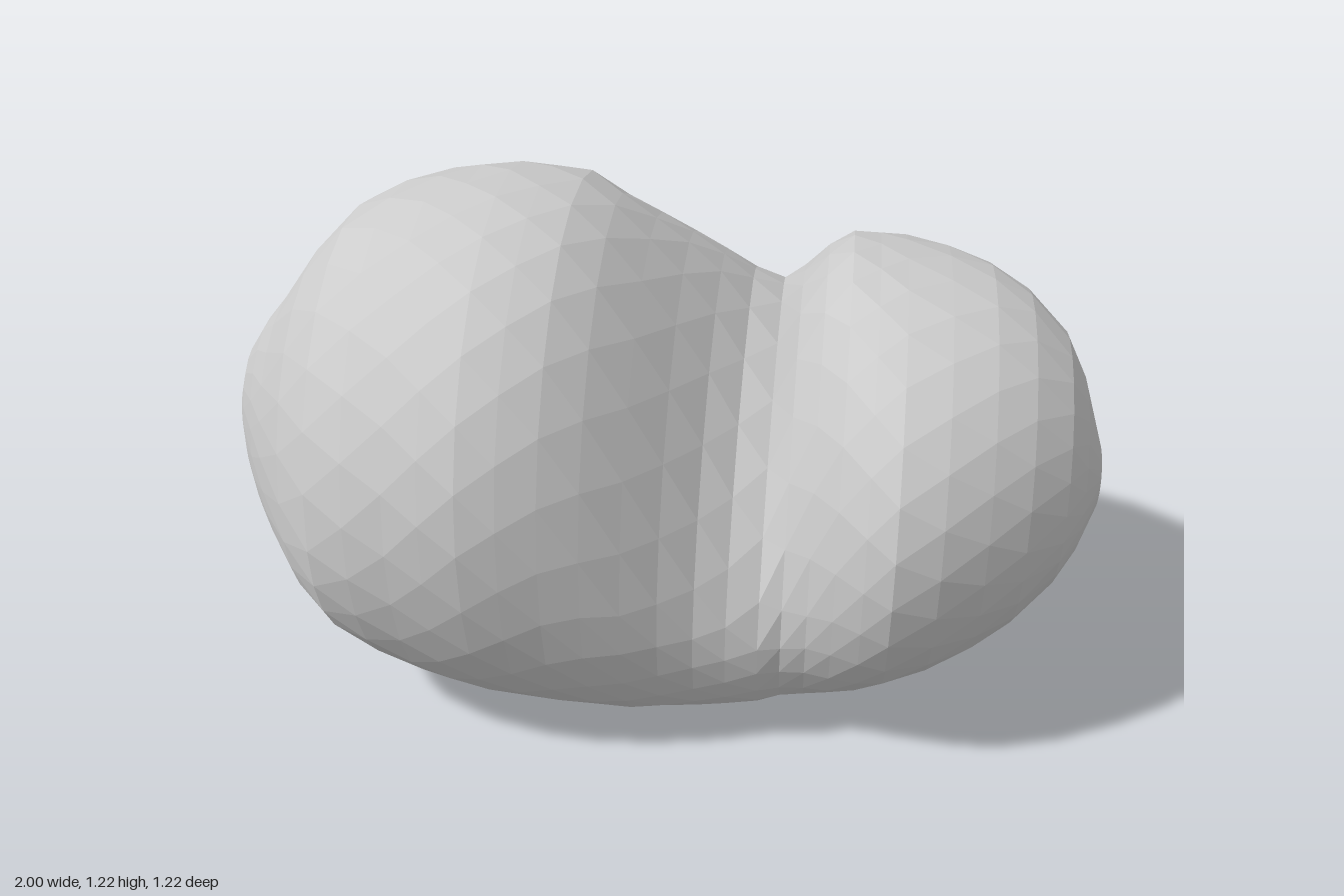
import * as THREE from 'three';

// Cross-sections along x:
// x, top y, top z, bottom y, bottom z, front z, front y, back z, back y
const SECTIONS = [
  [-1, 0.68, -0.04, 0.52, -0.03, 0.02, 0.58, -0.1, 0.6],
  [-0.97, 0.77, -0.04, 0.43, 0.02, 0.09, 0.57, -0.25, 0.6],
  [-0.87, 0.91, -0.03, 0.3, 0.05, 0.27, 0.56, -0.4, 0.6],
  [-0.69, 1.13, 0, 0.16, 0.07, 0.51, 0.57, -0.54, 0.6],
  [-0.5, 1.205, 0, 0.07, 0.1, 0.58, 0.62, -0.56, 0.6],
  [-0.34, 1.225, 0, 0.035, 0.12, 0.61, 0.65, -0.57, 0.6],
  [-0.18, 1.205, -0.02, 0.012, 0.13, 0.575, 0.6, -0.59, 0.6],
  [-0.02, 1.1, -0.1, 0, 0.13, 0.51, 0.46, -0.61, 0.6],
  [0.13, 0.98, -0.2, 0.005, 0.12, 0.44, 0.36, -0.59, 0.61],
  [0.27, 0.89, -0.25, 0.02, 0.1, 0.41, 0.32, -0.565, 0.63],
  [0.32, 0.97, -0.1, 0.03, 0.1, 0.4, 0.36, -0.56, 0.64],
  [0.43, 1.075, -0.06, 0.055, 0.1, 0.46, 0.5, -0.545, 0.65],
  [0.55, 1.07, -0.05, 0.11, 0.1, 0.515, 0.58, -0.5, 0.67],
  [0.74, 1.04, -0.03, 0.21, 0.1, 0.44, 0.6, -0.42, 0.67],
  [0.91, 0.92, 0, 0.37, 0.09, 0.3, 0.61, -0.24, 0.66],
  [1, 0.69, 0.06, 0.54, 0.07, 0.13, 0.62, 0, 0.63],
];
const SIDES = 26;

// Slope that never overshoots, so the crease stays crisp
function slope(i, c) {
  const s = SECTIONS;
  if (i === 0 || i === s.length - 1) {
    const k = i === 0 ? 0 : i - 1;
    return 1.4 * (s[k + 1][c] - s[k][c]) / (s[k + 1][0] - s[k][0]);
  }
  const a = (s[i][c] - s[i - 1][c]) / (s[i][0] - s[i - 1][0]);
  const b = (s[i + 1][c] - s[i][c]) / (s[i + 1][0] - s[i][0]);
  return a * b <= 0 ? 0 : (2 * a * b) / (a + b);
}

// Section halfway between two given ones
function midSection(i) {
  const p = SECTIONS[i], q = SECTIONS[i + 1], h = q[0] - p[0];
  return p.map((v, c) => c === 0 ? (v + q[0]) / 2
    : (v + q[c]) / 2 + (h / 8) * (slope(i, c) - slope(i + 1, c)));
}

const bump = (x, centre, width) => Math.exp(-(((x - centre) / width) ** 2));

// Flatness of each quarter: 1 is an ellipse, 2 a straight line
function flatness(x, up, front) {
  // saddle between the lobes
  if (up && front) return 1 + 0.18 * bump(x, 0.18, 0.15);
  // full backs of both lobes, with a step behind the large one
  if (up) return x < -0.17 ? 1 - 0.12 * bump(x, -0.35, 0.35) : 1.08 - 0.22 * bump(x, 0.58, 0.2);
  // round lower front, slanted lower back
  if (front) return 1;
  return 1.15 + 0.3 * bump(x, 0.2, 0.4);
}

// Closed ring of four quarters through the extreme points
function ringPoint([x, yT, zT, yB, zB, zF, yF, zK, yK], angle) {
  const c = Math.cos(angle), s = Math.sin(angle);
  const up = c >= 0, front = s >= 0;
  const p = flatness(x, up, front);
  const u = Math.abs(c) ** p, w = Math.abs(s) ** p;
  const z0 = up ? zT : zB, y0 = front ? yF : yK;
  return [x, y0 + ((up ? yT : yB) - y0) * u, z0 + ((front ? zF : zK) - z0) * w];
}

function bodyGeometry() {
  const rings = [];
  SECTIONS.forEach((s, i) => {
    rings.push(s);
    const next = SECTIONS[i + 1];
    if (next && next[0] - s[0] > 0.06) rings.push(midSection(i));
  });

  // Every second ring is turned half a step for irregular facets
  const pos = [], index = [];
  rings.forEach((r, j) => {
    for (let k = 0; k < SIDES; k++) {
      pos.push(...ringPoint(r, ((k + (j % 2) / 2) / SIDES) * Math.PI * 2));
    }
  });
  for (let j = 0; j < rings.length - 1; j++) {
    for (let k = 0; k < SIDES; k++) {
      const n = (k + 1) % SIDES;
      const a = j * SIDES + k, b = j * SIDES + n, c = a + SIDES, d = b + SIDES;
      if (j % 2) index.push(a, d, c, a, b, d);
      else index.push(a, b, c, b, d, c);
    }
  }

  // End caps
  [0, rings.length - 1].forEach((j) => {
    const r = rings[j], tip = pos.length / 3;
    pos.push(r[0], (r[1] + r[3]) / 2, (r[5] + r[7]) / 2);
    for (let k = 0; k < SIDES; k++) {
      const a = j * SIDES + k, b = j * SIDES + (k + 1) % SIDES;
      if (j === 0) index.push(tip, b, a);
      else index.push(tip, a, b);
    }
  });

  const geo = new THREE.BufferGeometry();
  geo.setAttribute('position', new THREE.Float32BufferAttribute(pos, 3));
  geo.setIndex(index);
  geo.computeVertexNormals();
  return geo;
}

export function createModel() {
  const group = new THREE.Group();
  group.name = 'beanShape';
  const material = new THREE.MeshStandardMaterial({ color: 0xcccccc, flatShading: true });
  const body = new THREE.Mesh(bodyGeometry(), material);
  body.name = 'foldedBody';
  group.add(body);
  return group;
}
